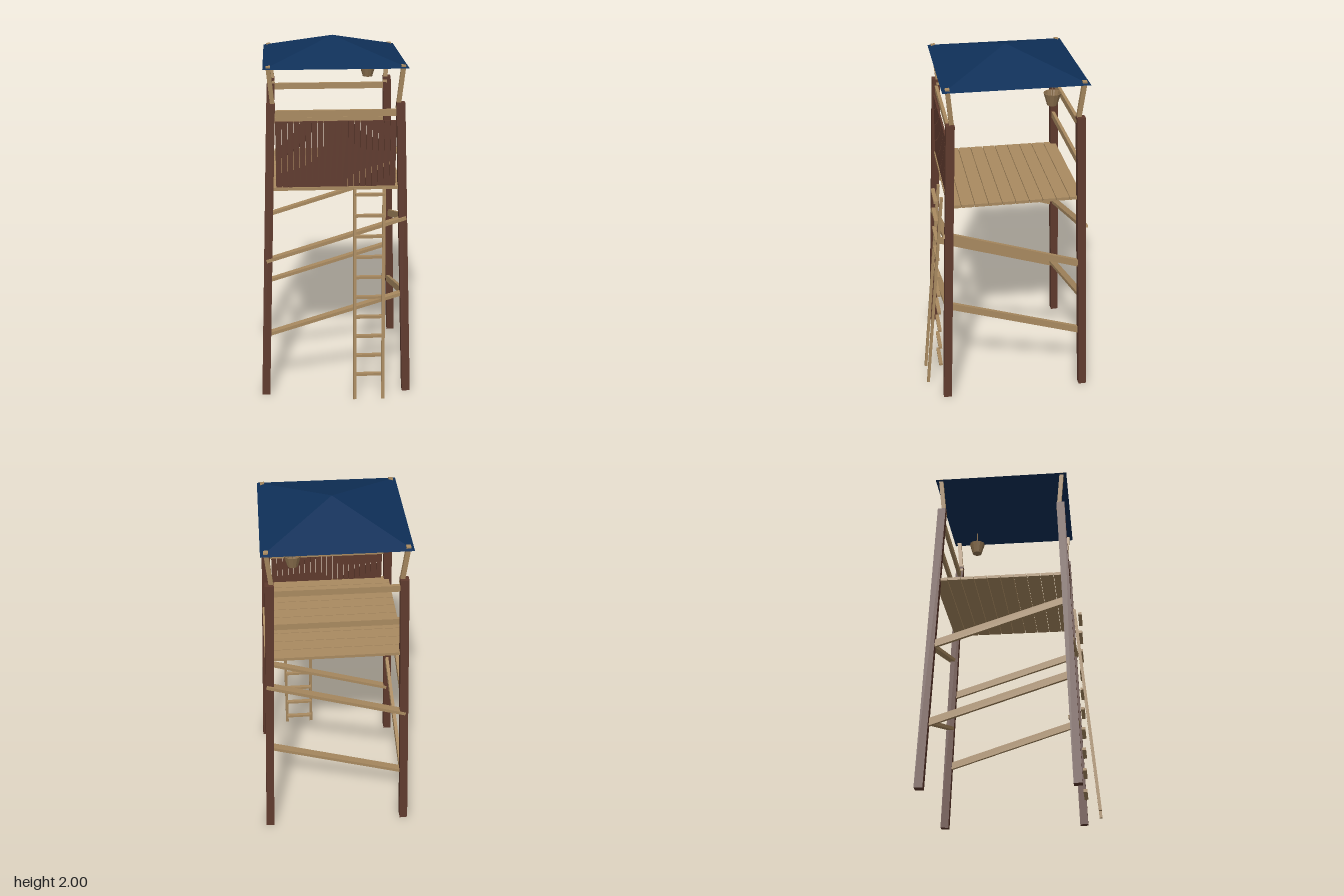
import * as THREE from 'three';

const mat = (name, color) => {
  const m = new THREE.MeshStandardMaterial({ color });
  m.name = name;
  return m;
};

export function createModel() {
  const darkWood = mat('darkWood', 0x5f3a2d);
  const lightWood = mat('lightWood', 0xa98a60);
  const cloth = mat('blueCloth', 0x0f3059);
  const bucketWood = mat('bucketWood', 0x8f7350);
  bucketWood.side = THREE.DoubleSide;

  const model = new THREE.Group();
  const tower = new THREE.Group(); // tower sits slightly behind the ladder
  tower.name = 'tower';
  tower.position.z = -0.045;
  model.add(tower);

  const add = (parent, name, geo, material, x = 0, y = 0, z = 0) => {
    const m = new THREE.Mesh(geo, material);
    m.name = name;
    m.position.set(x, y, z);
    parent.add(m);
    return m;
  };
  const box = (parent, name, material, w, h, d, x, y, z) =>
    add(parent, name, new THREE.BoxGeometry(w, h, d), material, x, y, z);

  // Beam between two points; its length lies along the given local axis
  const beam = (parent, name, material, a, b, axis, s1, s2) => {
    const p = new THREE.Vector3(...a), q = new THREE.Vector3(...b);
    const dir = q.clone().sub(p), len = dir.length();
    const size = { x: [len, s1, s2], y: [s1, len, s2], z: [s1, s2, len] }[axis];
    const unit = new THREE.Vector3(+(axis === 'x'), +(axis === 'y'), +(axis === 'z'));
    const m = add(parent, name, new THREE.BoxGeometry(...size), material);
    m.position.copy(p).add(q).multiplyScalar(0.5);
    m.quaternion.setFromUnitVectors(unit, dir.normalize());
  };

  // Four leaning legs, with thin roof posts flaring out above them
  for (const sx of [-1, 1]) for (const sz of [-1, 1]) {
    beam(tower, 'leg', darkWood,
      [sx * 0.405, 0, sz * 0.405], [sx * 0.346, 1.695, sz * 0.346], 'y', 0.046, 0.046);
    beam(tower, 'roofPost', lightWood,
      [sx * 0.334, 1.66, sz * 0.334], [sx * 0.357, 1.897, sz * 0.357], 'y', 0.024, 0.024);
  }

  // Diagonal braces: two on every side
  for (const s of [-1, 1]) for (const y of [0.37, 0.818]) {
    beam(tower, 'crossBrace', lightWood,
      [-0.385, y - 0.002, s * 0.382], [0.385, y + 0.238, s * 0.382], 'x', 0.019, 0.04);
    beam(tower, 'sideBrace', lightWood,
      [s * 0.38, y - 0.004, -0.375], [s * 0.38, y + 0.24, 0.385], 'z', 0.019, 0.04);
  }

  // Platform planks
  for (let i = 0; i < 10; i++)
    box(tower, 'floorPlank', lightWood, 0.735, 0.017, 0.071, 0, 1.226, (i - 4.5) * 0.0745);

  // Rails at front and back
  for (const s of [-1, 1]) for (const y of [1.43, 1.64])
    box(tower, 'rail', lightWood, 0.66, 0.036, 0.018, 0, y, s * 0.347);

  // Boarded front wall
  const boards = 20, pitch = 0.65 / boards;
  for (let i = 0; i < boards; i++)
    box(tower, 'wallBoard', darkWood, pitch - 0.0015, 0.365, 0.01,
      (i - (boards - 1) / 2) * pitch, 1.418, 0.361);

  // Four-sided roof
  const roof = new THREE.ConeGeometry(0.385 * Math.SQRT2, 0.117, 4).toNonIndexed();
  roof.rotateY(Math.PI / 4);
  roof.computeVertexNormals();
  add(tower, 'roof', roof, cloth, 0, 1.9415, 0);

  // Hanging bucket, open at the top
  const bucket = new THREE.Group();
  bucket.name = 'bucket';
  bucket.position.set(0.22, 0, -0.263);
  model.add(bucket);
  const profile = [[0, 1.722], [0.028, 1.722], [0.048, 1.79], [0.043, 1.79], [0.025, 1.728], [0, 1.728]]
    .map(([r, y]) => new THREE.Vector2(r, y));
  const pail = new THREE.LatheGeometry(profile, 12).toNonIndexed();
  pail.computeVertexNormals();
  add(bucket, 'pail', pail, bucketWood);
  add(bucket, 'rope', new THREE.CylinderGeometry(0.003, 0.003, 0.145, 6), bucketWood, 0, 1.798, 0);

  // Leaning ladder with rungs
  const ladder = new THREE.Group();
  ladder.name = 'ladder';
  model.add(ladder);
  for (const x of [0.101, 0.261])
    beam(ladder, 'ladderSide', lightWood, [x, 0, 0.459], [x, 1.232, 0.348], 'y', 0.018, 0.016);
  for (let i = 0; i < 10; i++)
    box(ladder, 'rung', lightWood, 0.16, 0.015, 0.021, 0.181, 0.115 + i * 0.1212, 0.38);

  return model;
}
